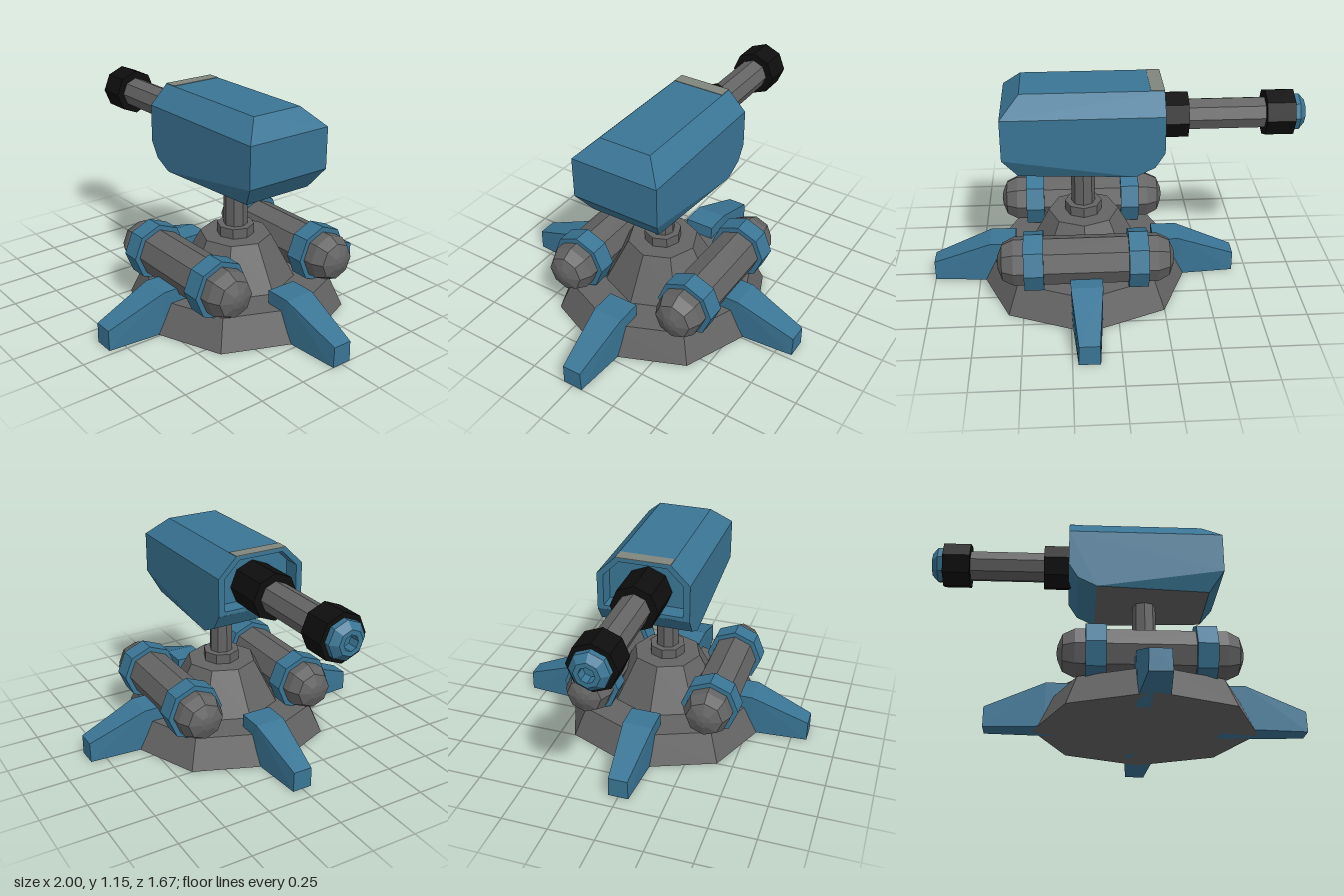
import * as THREE from 'three';
import { ConvexGeometry } from 'three/addons/geometries/ConvexGeometry.js';

export function createModel() {
  const mat = (name, color) => Object.assign(new THREE.MeshStandardMaterial({ color }), { name });
  const blue = mat('blue armour', 0x3a7595);
  const grey = mat('grey metal', 0x646464);
  const black = mat('black rubber', 0x0e0e0e);
  const pale = mat('pale trim', 0x80867e);

  const model = new THREE.Group();
  model.name = 'turret';
  const CX = 0.165; // axis of the stand

  // Faceted normals
  const faceted = (g) => {
    const f = g.index ? g.toNonIndexed() : g;
    f.computeVertexNormals();
    return f;
  };
  const add = (name, geo, material, parent = model) => {
    const m = new THREE.Mesh(geo, material);
    m.name = name;
    parent.add(m);
    return m;
  };
  // Eight-sided turned part from [radius, height] pairs
  const turned = (pts) =>
    faceted(new THREE.LatheGeometry(pts.map(([r, y]) => new THREE.Vector2(r, y)), 8));
  const drum = (r, y0, y1) => turned([[0, y0], [r, y0], [r, y1], [0, y1]]);
  // Convex solid from [x, y, half width] points mirrored in z
  const hull = (pts) =>
    new ConvexGeometry(pts.flatMap(([x, y, w]) =>
      [new THREE.Vector3(x, y, w), new THREE.Vector3(x, y, -w)]));

  // Stand: stepped base, collar and post
  const stand = new THREE.Group();
  stand.name = 'stand';
  stand.position.x = CX;
  model.add(stand);
  add('base', turned([[0, 0], [0.585, 0], [0.51, 0.16], [0.32, 0.16], [0.19, 0.4], [0, 0.4]]), grey, stand);
  add('collar', drum(0.1, 0.39, 0.455), grey, stand);
  add('post', drum(0.064, 0.44, 0.76), grey, stand);

  // Four feet
  const footGeo = faceted(hull([
    [0.38, 0.235, 0.083], [0.52, 0.235, 0.083], [0.835, 0.11, 0.052],
    [0.835, 0, 0.055], [0.52, 0, 0.078], [0.38, 0, 0.078],
  ]));
  for (let i = 0; i < 4; i++) {
    add('foot', footGeo, blue, stand).rotation.y = (i * Math.PI) / 2;
  }

  // Side tanks, each with two bands
  const L = 0.465;
  const tankGeo = turned([
    [0, -L], [0.04, -L + 0.006], [0.1, -L + 0.03], [0.13, -L + 0.09],
    [0.13, L - 0.09], [0.1, L - 0.03], [0.04, L - 0.006], [0, L],
  ]);
  const bandGeo = drum(0.158, -0.051, 0.051);
  for (const side of [-1, 1]) {
    const tank = new THREE.Group();
    tank.name = 'sideTank';
    tank.position.set(CX, 0.292, side * 0.338);
    tank.rotation.z = Math.PI / 2;
    model.add(tank);
    add('tankBody', tankGeo, grey, tank);
    for (const y of [-0.27, 0.272]) add('tankBand', bandGeo, blue, tank).position.y = y;
  }

  // Housing: chamfered solid with its front left open and a grey floor
  const solid = hull([
    [-0.25, 1.15, 0.145], [-0.25, 1.05, 0.245], [-0.25, 0.85, 0.245],
    [-0.2, 0.77, 0.245], [-0.1, 0.72, 0.245], [0.5, 0.72, 0.2],
    [0.58, 0.83, 0.245], [0.58, 1.05, 0.245], [0.48, 1.15, 0.145],
  ]);
  const pos = solid.attributes.position;
  const nor = solid.attributes.normal;
  const shell = [];
  const floor = [];
  for (let i = 0; i < pos.count; i += 3) {
    if (nor.getX(i) < -0.99) continue;
    const out = nor.getY(i) < -0.95 ? floor : shell;
    for (let k = i; k < i + 3; k++) out.push(pos.getX(k), pos.getY(k), pos.getZ(k));
  }
  const housing = new THREE.Group();
  housing.name = 'housing';
  model.add(housing);
  for (const [name, list, m] of [['housingShell', shell, blue], ['housingFloor', floor, grey]]) {
    const g = new THREE.BufferGeometry();
    g.setAttribute('position', new THREE.Float32BufferAttribute(list, 3));
    add(name, faceted(g), m, housing);
  }

  // Rim and recess at the front of the housing
  const outline = (s) => [
    [-0.245, 0.85], [0.245, 0.85], [0.245, 1.05], [0.145, 1.15], [-0.145, 1.15], [-0.245, 1.05],
  ].map(([z, y]) => new THREE.Vector2(z * s, 1 + (y - 1) * s));
  const rim = new THREE.Shape(outline(0.998));
  rim.holes.push(new THREE.Path(outline(0.86)));
  const rimMesh = add('frontRim',
    new THREE.ExtrudeGeometry(rim, { depth: 0.1, bevelEnabled: false }), blue, housing);
  rimMesh.rotation.y = -Math.PI / 2;
  rimMesh.position.x = -0.15;
  const back = add('recessBack', new THREE.ShapeGeometry(new THREE.Shape(outline(0.9))), blue, housing);
  back.rotation.y = -Math.PI / 2;
  back.position.x = -0.16;

  // Pale strip on the front of the roof
  add('roofTrim', new THREE.BoxGeometry(0.07, 0.005, 0.288), pale, housing)
    .position.set(-0.215, 1.15, 0);

  // Barrel, pointing towards -x
  const barrel = new THREE.Group();
  barrel.name = 'barrel';
  barrel.position.y = 0.955;
  barrel.rotation.z = Math.PI / 2;
  model.add(barrel);
  add('barrelRoot', drum(0.126, 0.14, 0.385), black, barrel);
  add('barrelTube', drum(0.085, 0.37, 0.8), grey, barrel);
  add('muzzleRing', drum(0.126, 0.79, 0.938), black, barrel);
  add('muzzleTip', turned([
    [0.1, 0.92], [0.1, 0.968], [0.065, 1], [0.04, 1], [0.04, 0.945], [0, 0.945],
  ]), blue, barrel);

  return model;
}
